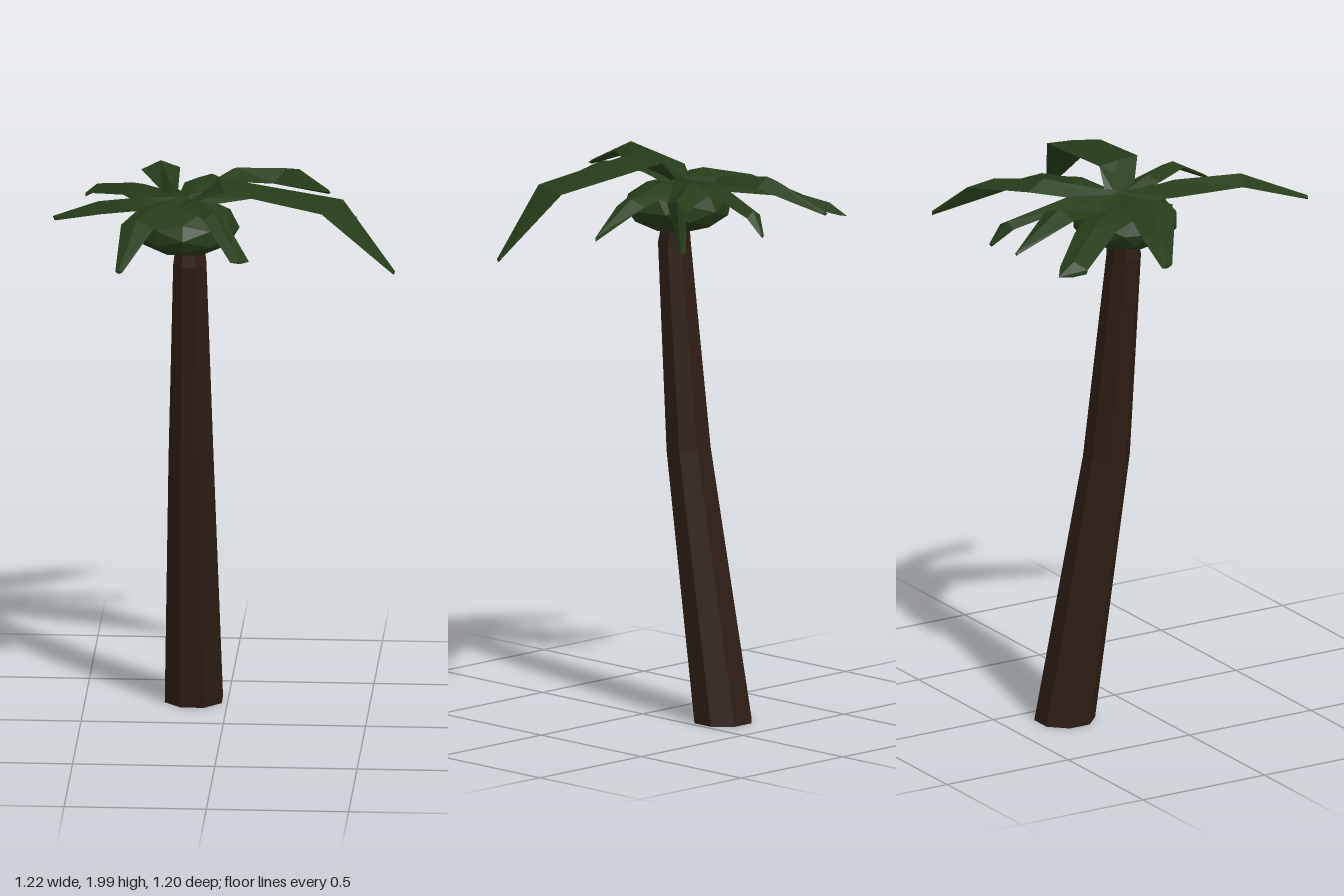
import * as THREE from 'three';

const bark = new THREE.MeshStandardMaterial({ color: 0x2c1c13, flatShading: true });
const green = new THREE.MeshStandardMaterial({ color: 0x263c1a, flatShading: true, side: THREE.DoubleSide });
const hub = new THREE.Vector3(-0.13, 1.89, -0.06);

// Surface through a list of equal rings of points, with capped ends
function loft(rings) {
  const n = rings[0].length, index = [];
  for (let i = 0; i < rings.length - 1; i++) {
    for (let j = 0; j < n; j++) {
      const a = i * n + j, b = i * n + (j + 1) % n;
      index.push(a, b, b + n, a, b + n, a + n);
    }
  }
  const e = (rings.length - 1) * n;
  for (let j = 1; j < n - 1; j++) index.push(0, j + 1, j, e, e + j, e + j + 1);
  const g = new THREE.BufferGeometry().setFromPoints(rings.flat());
  g.setIndex(index);
  g.computeVertexNormals();
  return g;
}

// Frond: each station is [left x, left z, right x, right z, y]; ridge raises the midrib
function frond(ridge, ...stations) {
  const [xl, zl, xr, zr] = stations[0];
  const out = new THREE.Vector2((xl + xr) / 2 - hub.x, (zl + zr) / 2 - hub.z).normalize();
  const w = 0.045;
  const root = [hub.x + out.y * w, hub.z - out.x * w, hub.x - out.y * w, hub.z + out.x * w, hub.y];
  const rings = [root, ...stations].map(([ax, az, bx, bz, y], i, all) => {
    const lift = ridge * (i === all.length - 1 ? 0.3 : 1);
    const mx = (ax + bx) / 2, mz = (az + bz) / 2;
    return [
      new THREE.Vector3(ax, y, az),
      new THREE.Vector3(mx, y + lift, mz),
      new THREE.Vector3(bx, y, bz),
      new THREE.Vector3(mx, y + lift * 0.2 - 0.008, mz),
    ];
  });
  return new THREE.Mesh(loft(rings), green);
}

export function createModel() {
  const model = new THREE.Group();

  // Leaning eight-sided trunk: [y, centre z, radius]
  const levels = [[0, -0.28, 0.1], [0.95, -0.108, 0.077], [1.68, -0.037, 0.057], [1.78, -0.045, 0.045]];
  const trunk = new THREE.Mesh(loft(levels.map(([y, z, r]) =>
    Array.from({ length: 8 }, (_, i) => {
      const a = -(i + 0.5) / 8 * Math.PI * 2;
      const s = r / Math.cos(Math.PI / 8);
      return new THREE.Vector3(-0.12 + Math.cos(a) * s, y, z + Math.sin(a) * s);
    }))), bark);
  trunk.name = 'trunk';
  model.add(trunk);

  // Flattened faceted crown under the fronds
  const crown = new THREE.Mesh(new THREE.IcosahedronGeometry(0.19, 1), green);
  crown.scale.y = 0.5;
  crown.position.set(-0.135, 1.815, -0.04);
  crown.name = 'crown';
  model.add(crown);

  // Fronds, clockwise from the broad one on the left side
  const fronds = new THREE.Group();
  fronds.name = 'fronds';
  fronds.add(
    frond(0.005, [-0.02, -0.075, 0.01, 0.1, 1.985], [0.42, -0.02, 0.355, 0.16, 1.93], [0.61, 0.095, 0.6, 0.12, 1.705]),
    frond(0.02, [-0.06, 0.05, -0.14, 0.1, 1.93], [0.01, 0.2, -0.055, 0.25, 1.93], [0.115, 0.41, 0.05, 0.425, 1.83]),
    frond(0.03, [-0.12, 0.17, -0.285, 0.08, 1.92], [-0.225, 0.37, -0.34, 0.32, 1.93], [-0.32, 0.595, -0.345, 0.585, 1.84]),
    frond(0.025, [-0.29, 0.06, -0.26, -0.11, 1.9], [-0.43, -0.02, -0.455, -0.165, 1.86], [-0.595, -0.13, -0.61, -0.18, 1.8]),
    frond(0.025, [-0.32, -0.12, -0.2, -0.24, 1.88], [-0.365, -0.22, -0.3, -0.35, 1.87], [-0.51, -0.425, -0.43, -0.49, 1.81], [-0.51, -0.43, -0.485, -0.53, 1.795]),
    frond(0.03, [-0.23, -0.19, -0.17, -0.18, 1.9], [-0.31, -0.36, -0.175, -0.395, 1.92], [-0.32, -0.6, -0.3, -0.595, 1.84]),
    frond(0.02, [-0.15, -0.25, -0.06, -0.24, 1.91], [-0.105, -0.48, -0.03, -0.49, 1.85], [-0.065, -0.54, -0.045, -0.545, 1.79]),
    frond(0.03, [0.01, -0.35, 0.05, -0.2, 1.93], [0.24, -0.46, 0.16, -0.285, 1.9], [0.33, -0.55, 0.345, -0.54, 1.79]),
    frond(0.025, [-0.02, -0.19, 0.1, -0.075, 1.91], [0.19, -0.205, 0.25, -0.125, 1.88], [0.46, -0.23, 0.41, -0.18, 1.8]),
  );
  fronds.children.forEach((f, i) => { f.name = `frond${i + 1}`; });
  model.add(fronds);

  return model;
}
